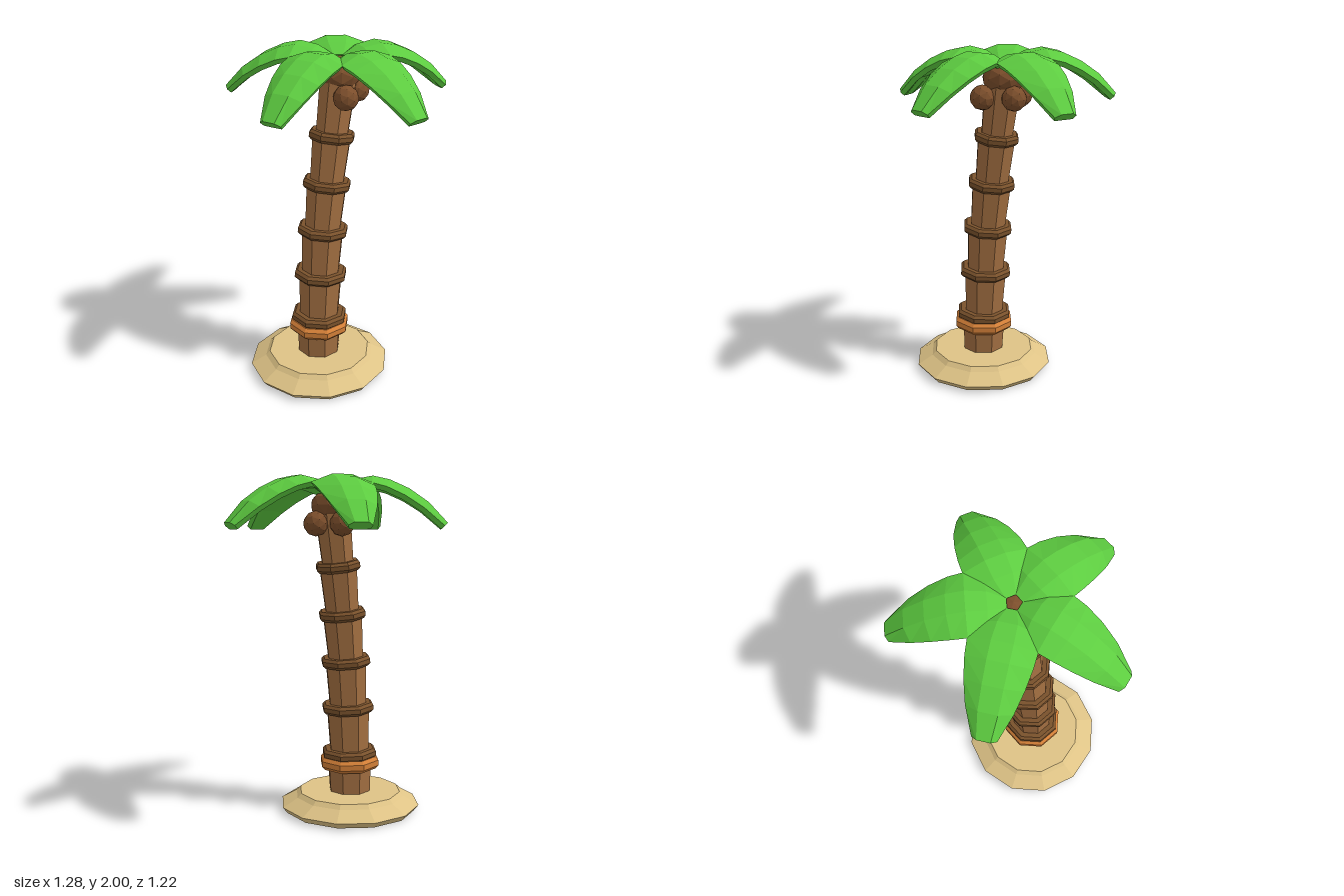
import * as THREE from 'three';

const mat = (name, color) => Object.assign(new THREE.MeshStandardMaterial({ color }), { name });

// Faceted normals
function flat(geo) {
  const g = geo.index ? geo.toNonIndexed() : geo;
  g.computeVertexNormals();
  return g;
}

function lathe(points, sides, phi = 0) {
  return flat(new THREE.LatheGeometry(points.map(p => new THREE.Vector2(p[0], p[1])), sides, phi));
}

// One frond running along +z: eight-point cross-sections, flat ridge band on top, drooping edges
function frondGeometry() {
  // distance, ridge height, half width, ridge half width, edge droop
  const rows = [
    [0.035, 1.935, 0.055, 0.027, 0.008],
    [0.13, 1.982, 0.125, 0.05, 0.027],
    [0.235, 2.0, 0.174, 0.055, 0.045],
    [0.33, 1.979, 0.168, 0.055, 0.047],
    [0.44, 1.929, 0.15, 0.053, 0.047],
    [0.55, 1.853, 0.12, 0.05, 0.042],
    [0.66, 1.737, 0.065, 0.036, 0.024],
  ];
  const n = 8, pos = [], idx = [];
  rows.forEach(([r, y, w, c, d], i) => {
    const a = rows[Math.max(i - 1, 0)], b = rows[Math.min(i + 1, rows.length - 1)];
    const len = Math.hypot(b[0] - a[0], b[1] - a[1]);
    const nz = -(b[1] - a[1]) / len, ny = (b[0] - a[0]) / len;
    const section = [
      [-w, -d], [-c, 0], [c, 0], [w, -d],
      [0.88 * w, -d - 0.028], [c, -0.054], [-c, -0.054], [-0.88 * w, -d - 0.028],
    ];
    for (const [x, h] of section) pos.push(x, y + h * ny, r + h * nz);
  });
  for (let i = 0; i < rows.length - 1; i++) {
    for (let j = 0; j < n; j++) {
      const k = (j + 1) % n, p = i * n, q = p + n;
      idx.push(p + j, q + j, q + k, p + j, q + k, p + k);
    }
  }
  const end = (rows.length - 1) * n;
  for (let j = 1; j < n - 1; j++) {
    idx.push(0, j, j + 1);
    idx.push(end, end + j + 1, end + j);
  }
  const g = new THREE.BufferGeometry();
  g.setAttribute('position', new THREE.Float32BufferAttribute(pos, 3));
  g.setIndex(idx);
  return flat(g);
}

export function createModel() {
  const model = new THREE.Group();
  model.name = 'palmTree';
  const sand = mat('sand', 0xdec386);
  const bark = mat('bark', 0xa47042);
  const ringBrown = mat('darkBark', 0x7a522c);
  const orange = mat('orangeBand', 0xd48038);
  const nut = mat('coconutBrown', 0x7d4f2c);
  const green = mat('leafGreen', 0x5dcc40);
  const Z = -0.05;
  const up = new THREE.Vector3(0, 1, 0);
  const add = (name, geo, material, parent = model) => {
    const m = new THREE.Mesh(geo, material);
    m.name = name;
    parent.add(m);
    return m;
  };

  // Sand mound with a low lip around its flat top
  const mound = [[0, 0], [0.4, 0], [0.427, 0.035], [0.335, 0.087], [0.31, 0.112], [0, 0.112]];
  add('sandBase', lathe(mound, 12), sand).position.set(-0.17, 0, Z);

  // Leaning trunk: flared segments with a bark ring at each joint
  const k = 1 / Math.cos(Math.PI / 8);
  const trunk = new THREE.Group();
  trunk.name = 'trunk';
  model.add(trunk);
  const joints = [[-0.172, 0.09], [-0.165, 0.35], [-0.15, 0.635], [-0.129, 0.92], [-0.095, 1.205], [-0.055, 1.49], [-0.003, 1.82]]
    .map(([x, y]) => new THREE.Vector3(x, y, Z));
  const place = (mesh, at, dir) => {
    mesh.position.copy(at);
    mesh.quaternion.setFromUnitVectors(up, dir.clone().normalize());
  };
  const ring = (R, h) => lathe([
    [R * 0.7, -h], [R * 0.9, -h], [R, -h * 0.45], [R, h * 0.45], [R * 0.9, h], [R * 0.7, h],
  ], 8, Math.PI / 8);
  for (let i = 0; i < joints.length - 1; i++) {
    const a = joints[i], b = joints[i + 1], dir = b.clone().sub(a);
    const r = 0.118 - 0.0058 * i;
    const seg = lathe([[0, 0], [r * k, 0], [(r + 0.012) * k, dir.length()], [0, dir.length()]], 8, Math.PI / 8);
    place(add('trunkSegment', seg, bark, trunk), a, dir);
    if (i > 0) {
      const tangent = b.clone().sub(joints[i - 1]);
      place(add('barkRing', ring((0.165 - 0.0078 * i) * k, 0.029), ringBrown, trunk), a, tangent);
    }
  }
  place(add('orangeRing', ring(0.171 * k, 0.037), orange, trunk),
    new THREE.Vector3(-0.167, 0.293, Z), new THREE.Vector3(0.02, 1, 0));

  // Crown knob and coconuts
  const knob = add('crownKnob', flat(new THREE.IcosahedronGeometry(0.122, 1)), nut);
  knob.position.set(0, 1.838, Z);
  knob.scale.y = 0.82;
  for (const [x, z] of [[0.106, -0.022], [-0.052, 0.07], [0.033, -0.157]]) {
    add('coconut', flat(new THREE.IcosahedronGeometry(0.073, 1)), nut).position.set(x, 1.733, z);
  }

  // Five fronds
  const frond = frondGeometry();
  for (let i = 0; i < 5; i++) {
    const m = add('frond', frond, green);
    m.position.set(-0.003, 0, Z);
    m.rotation.y = i * Math.PI * 2 / 5;
  }
  return model;
}
